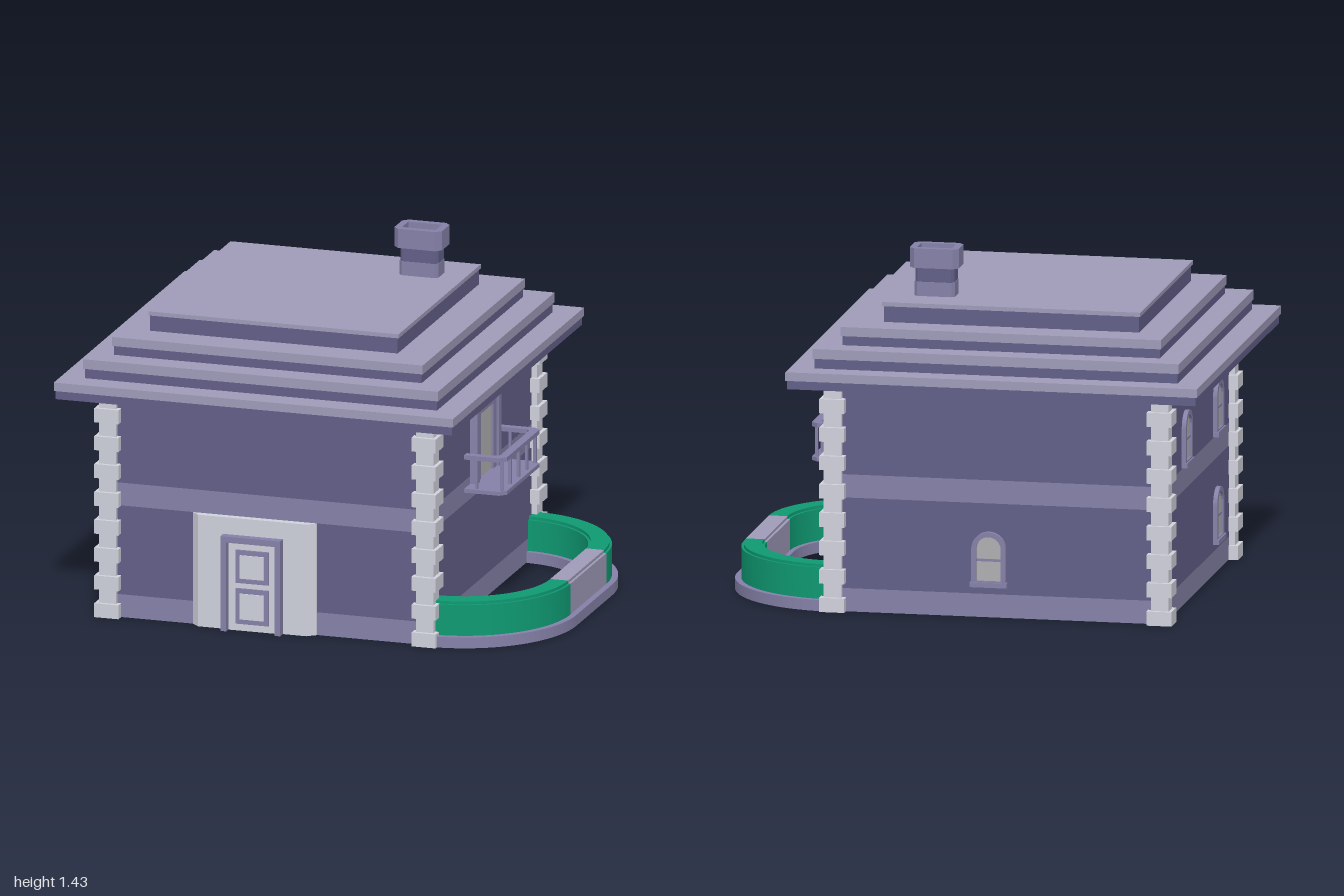
import * as THREE from 'three';
import { toCreasedNormals } from 'three/addons/utils/BufferGeometryUtils.js';

const DARK = 0x625f88, MID = 0x8581a8, LIGHT = 0x9f9bb9, STONE = 0xd0d2dc,
  GREEN = 0x0f9a72, GLASS = 0xb0b0b2, SOOT = 0x3c3c44;
const CX = -0.152, HALF = 0.68; // house centre in x, half width of the walls

const materials = {};
const mat = (color) => (materials[color] ??= new THREE.MeshStandardMaterial({ color }));

function add(parent, name, geometry, color) {
  const mesh = new THREE.Mesh(geometry, mat(color));
  mesh.name = name;
  parent.add(mesh);
  return mesh;
}

// Box given by its limits on each axis
function box(parent, name, color, x0, x1, y0, y1, z0, z1) {
  const mesh = add(parent, name, new THREE.BoxGeometry(x1 - x0, y1 - y0, z1 - z0), color);
  mesh.position.set((x0 + x1) / 2, (y0 + y1) / 2, (z0 + z1) / 2);
  return mesh;
}

// Plan outline (x, z) raised from y0 to y1
function raise(parent, name, color, shape, y0, y1) {
  const geo = new THREE.ExtrudeGeometry(shape, { depth: y1 - y0, bevelEnabled: false, curveSegments: 20 });
  geo.rotateX(Math.PI / 2);
  const mesh = add(parent, name, toCreasedNormals(geo, 0.5), color);
  mesh.position.y = y1;
  return mesh;
}

const poly = (pts) => new THREE.Shape(pts.map(([x, y]) => new THREE.Vector2(x, y)));

// Rectangle with clipped corners
function clipped(w, h, c) {
  return poly([[-w + c, -h], [w - c, -h], [w, -h + c], [w, h - c], [w - c, h], [-w + c, h], [-w, h - c], [-w, -h + c]]);
}

// Upright outline with rounded top corners, standing on y = 0
function arch(w, h, r, y0 = 0) {
  const s = new THREE.Shape();
  s.moveTo(-w, y0);
  s.lineTo(w, y0);
  s.lineTo(w, h - r);
  s.absarc(w - r, h - r, r, 0, Math.PI / 2, false);
  s.absarc(-w + r, h - r, r, Math.PI / 2, Math.PI, false);
  s.closePath();
  return s;
}

function archPlate(parent, name, color, shape, depth) {
  const geo = new THREE.ExtrudeGeometry(shape, { depth, bevelEnabled: false, curveSegments: 8 });
  return add(parent, name, toCreasedNormals(geo, 0.5), color);
}

function makeWindow() {
  const g = new THREE.Group();
  g.name = 'archedWindow';
  const frame = arch(0.07, 0.22, 0.069);
  frame.holes.push(arch(0.05, 0.2, 0.049, 0.02));
  archPlate(g, 'windowFrame', MID, frame, 0.018);
  archPlate(g, 'windowGlass', GLASS, arch(0.055, 0.205, 0.054, 0.01), 0.008);
  box(g, 'windowBar', MID, -0.05, 0.05, 0.1, 0.11, 0, 0.012);
  box(g, 'windowSill', MID, -0.075, 0.075, -0.005, 0.015, 0, 0.025);
  return g;
}

function makeDoor() {
  const g = new THREE.Group();
  g.name = 'frontDoor';
  // stone surround with slanted sides
  raise(g, 'doorSurround', STONE, poly([[-0.465, 0.67], [-0.465, 0.682], [-0.435, 0.71], [0.02, 0.71], [0.055, 0.682], [0.055, 0.67]]), 0, 0.465);
  for (const s of [-1, 1]) {
    const x = -0.204 + s * 0.114;
    box(g, 'doorPost', MID, x - 0.012, x + 0.012, 0, 0.395, 0.7, 0.745);
  }
  box(g, 'doorLintel', MID, -0.306, -0.102, 0.37, 0.395, 0.7, 0.745);
  box(g, 'doorLeaf', STONE, -0.306, -0.102, 0, 0.37, 0.7, 0.716);
  for (const [y0, y1] of [[0.03, 0.177], [0.2, 0.337]]) {
    box(g, 'panelFrame', MID, -0.274, -0.134, y0, y1, 0.71, 0.724);
    box(g, 'panel', STONE, -0.254, -0.154, y0 + 0.02, y1 - 0.02, 0.71, 0.728);
  }
  return g;
}

function makeBalcony() {
  const g = new THREE.Group();
  g.name = 'balcony';
  const edge = (x, z, c) => [[0.525, -z], [x - c, -z], [x, -z + c], [x, z - c], [x - c, z], [0.525, z]];
  raise(g, 'balconyFloor', MID, poly(edge(0.7, 0.232, 0.025)), 0.512, 0.528);
  raise(g, 'balconyRail', MID, poly([...edge(0.7, 0.232, 0.025), ...edge(0.665, 0.2, 0.015).reverse()]), 0.65, 0.668);
  const posts = [-0.212, -0.106, 0, 0.106, 0.212].map((z) => [0.68, z]);
  posts.push([0.575, -0.214], [0.575, 0.214]);
  for (const [x, z] of posts) box(g, 'baluster', MID, x - 0.006, x + 0.006, 0.52, 0.655, z - 0.006, z + 0.006);

  // rounded door behind the balcony
  const door = new THREE.Group();
  door.name = 'balconyDoor';
  const frame = arch(0.155, 0.35, 0.04);
  frame.holes.push(arch(0.12, 0.325, 0.02, 0.001));
  archPlate(door, 'balconyDoorFrame', MID, frame, 0.03);
  const leaf = arch(0.122, 0.327, 0.02);
  leaf.holes.push(poly([[-0.08, 0.01], [0.08, 0.01], [0.08, 0.285], [-0.08, 0.285]]));
  archPlate(door, 'balconyDoorLeaf', MID, leaf, 0.02);
  box(door, 'balconyDoorGlass', GLASS, -0.09, 0.09, 0, 0.29, 0, 0.01);
  door.rotation.y = Math.PI / 2;
  door.position.set(CX + HALF, 0.515, 0);
  g.add(door);
  return g;
}

// Curved garden wall: quarter arcs joined by a straight middle
function makeGardenWall() {
  const g = new THREE.Group();
  g.name = 'gardenWall';
  const ax = 0.53, az = 0.23;
  const layers = [
    ['wallFooting', MID, MID, 0.33, 0.47, 0, 0.045],
    ['wallBody', GREEN, LIGHT, 0.35, 0.445, 0.045, 0.173],
    ['wallTop', GREEN, LIGHT, 0.36, 0.435, 0.173, 0.185],
  ];
  for (const [name, curveColor, midColor, ri, ro, y0, y1] of layers) {
    for (const s of [-1, 1]) {
      const shape = new THREE.Shape();
      shape.absarc(ax, s * az, ro, 0, s * Math.PI / 2, s < 0);
      shape.absarc(ax, s * az, ri, s * Math.PI / 2, 0, s > 0);
      raise(g, name + 'Curve', curveColor, shape, y0, y1);
    }
    box(g, name + 'Middle', midColor, ax + ri, ax + ro, y0, y1, -az, az);
  }
  return g;
}

function makeChimney() {
  const g = new THREE.Group();
  g.name = 'chimney';
  raise(g, 'chimneyFoot', MID, clipped(0.082, 0.05, 0.012), 1.23, 1.295);
  raise(g, 'chimneyShaft', DARK, clipped(0.08, 0.048, 0.012), 1.295, 1.36);
  const cap = clipped(0.1, 0.07, 0.022);
  cap.holes.push(poly([[-0.071, -0.04], [0.071, -0.04], [0.071, 0.04], [-0.071, 0.04]]));
  raise(g, 'chimneyCap', MID, cap, 1.355, 1.435);
  box(g, 'chimneyFlue', SOOT, -0.073, 0.073, 1.356, 1.375, -0.042, 0.042);
  g.position.set(0.166, 0, -0.33);
  return g;
}

export function createModel() {
  const house = new THREE.Group();
  house.name = 'house';

  // walls in alternating bands
  const levels = [0, 0.095, 0.465, 0.56, 0.94];
  for (let i = 0; i < 4; i++) {
    box(house, i % 2 ? 'wall' : 'wallBand', i % 2 ? DARK : MID, CX - HALF, CX + HALF, levels[i], levels[i + 1], -HALF, HALF);
  }

  // corner stones, wide and narrow in turn
  for (const sx of [-1, 1]) for (const sz of [-1, 1]) {
    const x = CX + sx * 0.668, z = sz * 0.664;
    for (let i = 0; i < 16; i++) {
      const h = i % 2 ? 0.036 : 0.051, y = i * 0.058;
      box(house, 'cornerStone', STONE, x - h, x + h, y, i === 15 ? 0.935 : y + 0.058, z - h, z + h);
    }
  }

  // stepped roof: centre x, half width, bottom, change of colour, top
  const tiers = [
    [-0.16, 0.84, 0.93, 0.965, 1.0],
    [-0.16, 0.747, 1.0, 1.04, 1.08],
    [-0.162, 0.654, 1.08, 1.118, 1.155],
    [-0.178, 0.527, 1.155, 1.22, 1.237],
  ];
  for (const [x, h, y0, y1, y2] of tiers) {
    const d = h - 0.006;
    box(house, 'roofEdge', DARK, x - d, x + d, y0, y1, -d, d);
    box(house, 'roofSlab', LIGHT, x - h, x + h, y1, y2, -h, h);
  }

  house.add(makeChimney(), makeDoor(), makeBalcony(), makeGardenWall());

  // windows on the back and on the right side
  const back = makeWindow();
  back.rotation.y = Math.PI;
  back.position.set(-0.12, 0.13, -HALF);
  house.add(back);
  for (const [y, z] of [[0.57, -0.25], [0.57, 0.375], [0.13, 0.375]]) {
    const side = makeWindow();
    side.rotation.y = -Math.PI / 2;
    side.position.set(CX - HALF, y, z);
    house.add(side);
  }
  return house;
}
